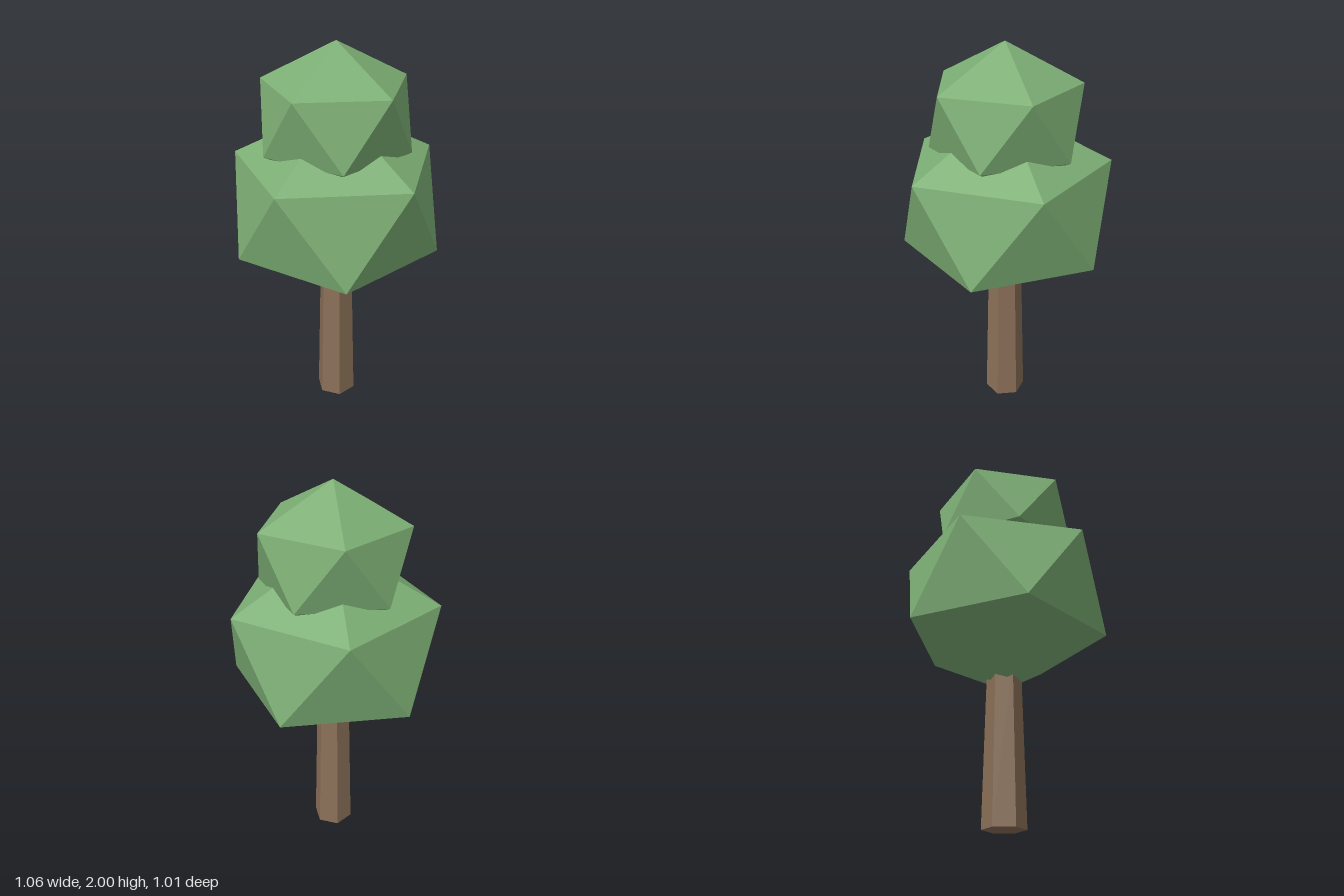
import * as THREE from 'three';

export function createModel() {
  const tree = new THREE.Group();
  tree.name = 'tree';
  const bark = new THREE.MeshStandardMaterial({ color: 0x8b7058, flatShading: true });
  const leaves = new THREE.MeshStandardMaterial({ color: 0x7cae74, flatShading: true });

  // Six-sided tapering trunk, its top sunk into the foliage
  const trunkHeight = 0.82;
  const trunk = new THREE.Mesh(new THREE.CylinderGeometry(0.087, 0.108, trunkHeight, 6), bark);
  trunk.name = 'trunk';
  trunk.position.y = trunkHeight / 2;
  tree.add(trunk);

  // Slightly squashed icosahedron standing on one corner
  const tilt = -Math.atan(2 / (1 + Math.sqrt(5)));
  function addFoliage(name, radius, y) {
    const geometry = new THREE.IcosahedronGeometry(radius, 0);
    geometry.rotateZ(tilt).scale(1, 0.85, 1);
    const mesh = new THREE.Mesh(geometry, leaves);
    mesh.name = name;
    mesh.position.y = y;
    tree.add(mesh);
  }
  addFoliage('lowerFoliage', 0.591, 1.19);
  addFoliage('upperFoliage', 0.418, 1.645);

  return tree;
}
